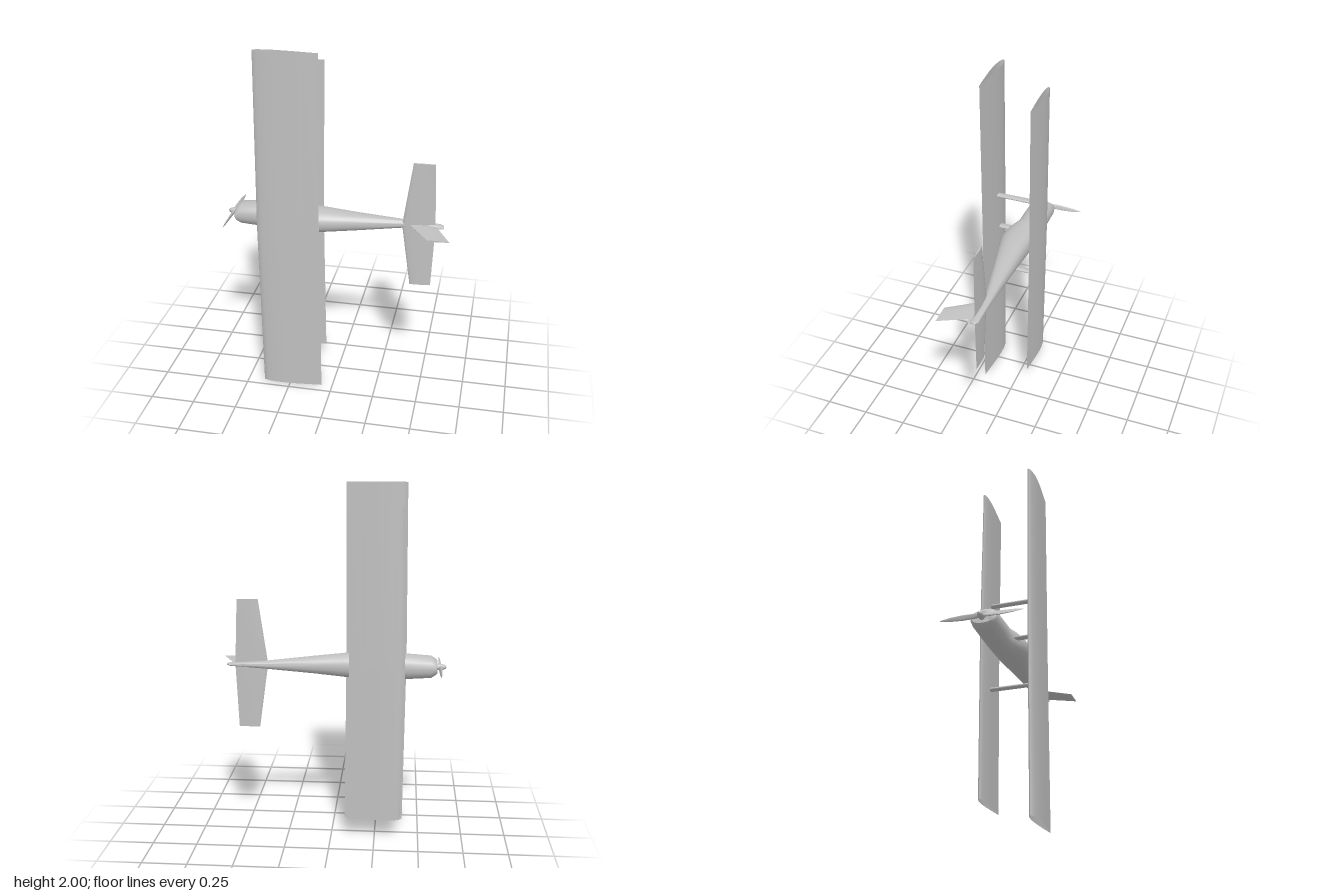
import * as THREE from 'three';
import { toCreasedNormals } from 'three/addons/utils/BufferGeometryUtils.js';

const V = (x, y, z) => new THREE.Vector3(x, y, z);

// Skin a list of equal-length closed rings; optionally close both ends.
function loft(rings, caps = true) {
  const n = rings[0].length, pos = [], idx = [];
  rings.forEach(r => r.forEach(p => pos.push(p.x, p.y, p.z)));
  for (let i = 0; i < rings.length - 1; i++) {
    for (let j = 0; j < n; j++) {
      const a = i * n + j, b = i * n + (j + 1) % n;
      idx.push(a, b, a + n, b, b + n, a + n);
    }
  }
  if (caps) {
    const last = (rings.length - 1) * n;
    for (let j = 1; j < n - 1; j++) idx.push(0, j + 1, j, last, last + j, last + j + 1);
  }
  const g = new THREE.BufferGeometry();
  g.setAttribute('position', new THREE.Float32BufferAttribute(pos, 3));
  g.setIndex(idx);
  return toCreasedNormals(g, 0.7);
}

// Airfoil outline: [chord fraction, signed thickness fraction].
const upper = [[0.02, 0.4], [0.08, 0.72], [0.2, 0.96], [0.33, 1], [0.5, 0.86], [0.75, 0.46]];
const FOIL = [[0, 0], ...upper, [1, 0], ...upper.slice().reverse().map(([c, t]) => [c, -t])];

// Section of a wing lying in x/z at height y.
const foilRing = (y, le, te, z, up, down, rise = 0) =>
  FOIL.map(([c, t]) => V(le + c * (te - le), y, z + c * rise + (t > 0 ? t * up : t * down)));

export function createModel() {
  const model = new THREE.Group();
  const grey = new THREE.MeshStandardMaterial({ color: 0xc0c0c0, side: THREE.DoubleSide });
  grey.name = 'plain grey';
  const add = (name, geometry, parent = model) => {
    const mesh = new THREE.Mesh(geometry, grey);
    mesh.name = name;
    parent.add(mesh);
    return mesh;
  };

  // Fuselage: [x, half width, belly z, deck z]
  const hull = [
    [-0.588, 0.034, -0.055, 0.066], [-0.58, 0.042, -0.064, 0.077], [-0.555, 0.06, -0.066, 0.08],
    [-0.42, 0.07, -0.066, 0.08], [-0.33, 0.072, -0.066, 0.08], [-0.27, 0.072, -0.066, 0.105],
    [-0.22, 0.071, -0.065, 0.118], [-0.15, 0.07, -0.064, 0.12], [-0.07, 0.065, -0.058, 0.102],
    [0.1, 0.048, -0.051, 0.065], [0.37, 0.022, -0.043, 0.008], [0.45, 0.016, -0.041, 0],
    [0.57, 0.009, -0.039, 0.004], [0.59, 0.004, -0.028, 0.004],
  ];
  add('fuselage', loft(hull.map(([x, w, lo, hi]) => {
    const mid = Math.min(0.01, (lo + hi) / 2), ring = [];
    for (let i = 0; i < 24; i++) {
      const a = i / 24 * Math.PI * 2, s = Math.sin(a), c = Math.cos(a);
      const y = Math.sign(c) * Math.pow(Math.abs(c), 0.85) * w;
      const h = s > 0 ? hi - mid : mid - lo;
      ring.push(V(x, 1 + y, mid + Math.sign(s) * Math.pow(Math.abs(s), 0.85) * h));
    }
    return ring;
  })));

  // Main wings, hollow and open at the tips
  add('upperWing', loft([
    foilRing(0, -0.408, -0.063, 0.196, 0.019, 0.019),
    foilRing(1, -0.418, -0.07, 0.196, 0.019, 0.019),
    foilRing(2, -0.408, -0.065, 0.196, 0.019, 0.019),
  ], false));
  add('lowerWing', loft([
    foilRing(0.11, -0.395, -0.09, -0.068, 0.011, 0.019, -0.006),
    foilRing(1, -0.41, -0.1, -0.068, 0.011, 0.019, -0.006),
    foilRing(1.89, -0.395, -0.09, -0.068, 0.011, 0.019, -0.006),
  ], false));

  // Tailplane with swept leading edges
  add('tailplane', loft([
    foilRing(0.63, 0.412, 0.53, 0, 0.005, 0.005, -0.004),
    foilRing(1, 0.36, 0.545, 0.002, 0.009, 0.009, -0.01),
    foilRing(1.37, 0.412, 0.53, 0, 0.005, 0.005, -0.004),
  ]));

  // Raked tail fin: airfoil sections stacked along z
  const finRing = (z, le, te, t) => FOIL.map(([c, s]) => V(le + c * (te - le), 1 + s * t, z));
  add('tailFin', loft([
    finRing(-0.01, 0.385, 0.56, 0.008), finRing(0.02, 0.415, 0.562, 0.008),
    finRing(0.172, 0.52, 0.637, 0.004),
  ]));
  add('rudderFoot', loft([
    finRing(-0.04, 0.45, 0.57, 0.006), finRing(-0.03, 0.45, 0.588, 0.006), finRing(0.018, 0.45, 0.59, 0.006),
  ]));

  // Struts: slim oval posts running along z
  const strut = (name, x, y, z0, z1, rx, ry) => {
    const g = new THREE.CylinderGeometry(1, 1, z1 - z0, 12).rotateX(Math.PI / 2);
    g.scale(rx, ry, 1).translate(x, y, (z0 + z1) / 2);
    add(name, g);
  };
  for (const [side, y] of [['right', 0.735], ['left', 1.23]]) {
    strut(side + 'WingStrut', -0.27, y, -0.066, 0.2, 0.02, 0.009);
  }
  strut('centreStrut', -0.3, 1, 0.02, 0.21, 0.022, 0.008);

  // Propeller and spinner
  const propeller = new THREE.Group();
  propeller.name = 'propeller';
  propeller.position.set(-0.605, 1, 0.003);
  model.add(propeller);
  const nose = [[0, -0.035], [0.009, -0.03], [0.015, -0.018], [0.018, 0], [0.018, 0.03]]
    .map(([r, h]) => new THREE.Vector2(r, h));
  add('spinner', new THREE.LatheGeometry(nose, 20).rotateZ(-Math.PI / 2), propeller);
  const blade = [[0, 0.008, 0.008], [0.04, 0.009, 0.013], [0.1, 0.006, 0.014], [0.17, 0.004, 0.01], [0.224, 0.001, 0.002]];
  for (const turn of [0, Math.PI]) {
    const rings = blade.map(([z, rx, ry]) => Array.from({ length: 12 }, (_, i) => {
      const a = i / 12 * Math.PI * 2;
      return V(Math.cos(a) * rx + Math.sin(a) * ry * 0.3, Math.sin(a) * ry, z);
    }));
    add('propellerBlade', loft(rings), propeller).rotation.x = turn;
  }
  return model;
}
